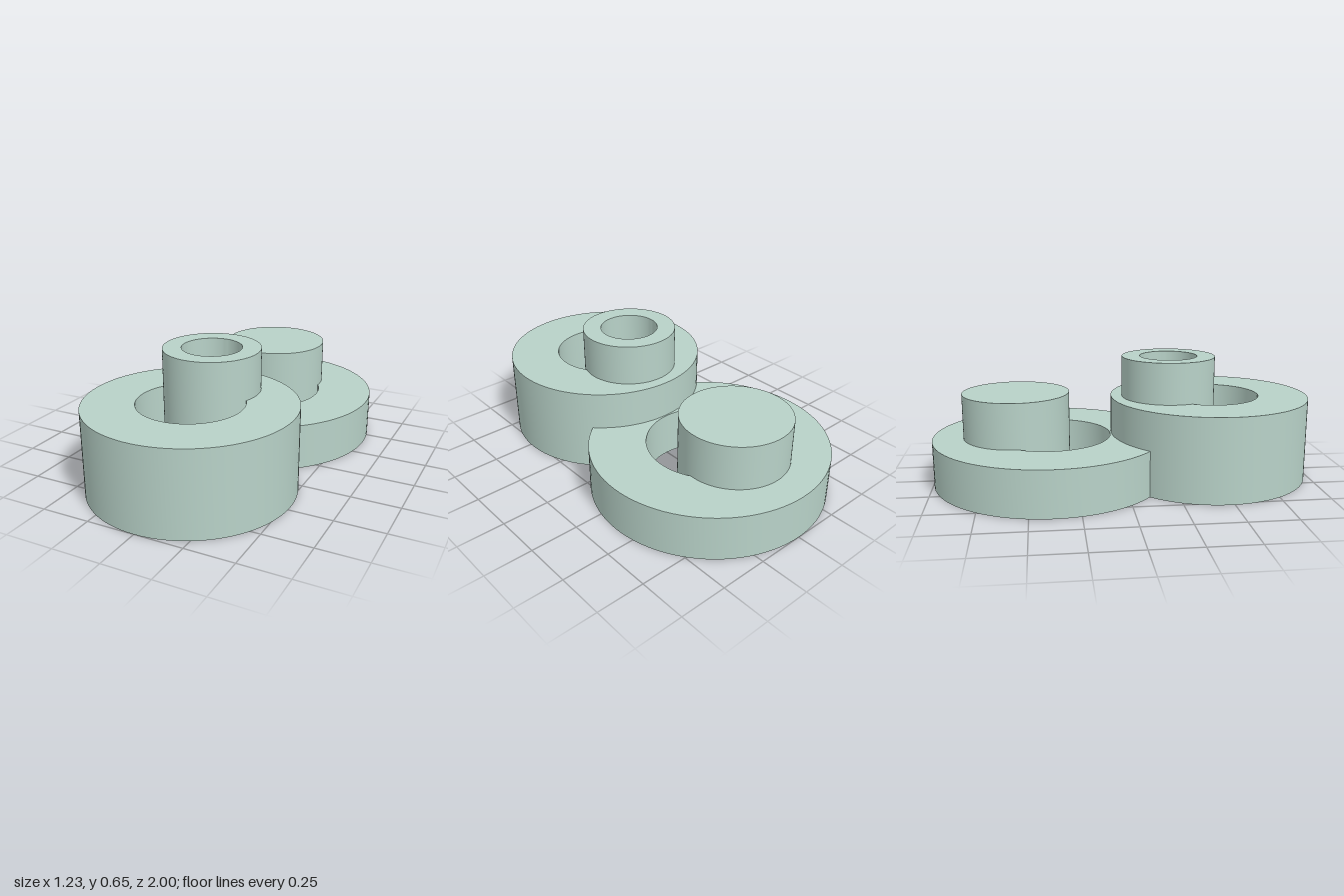
import * as THREE from 'three';
import { toCreasedNormals } from 'three/addons/utils/BufferGeometryUtils.js';

const material = new THREE.MeshStandardMaterial({ color: 0xb8d2c8 });

// Upright round part standing on y = 0, with an optional bore through it
function roundPart(name, z, radius, height, bore = 0) {
  const shape = new THREE.Shape().absarc(0, 0, radius, 0, Math.PI * 2, false);
  if (bore > 0) shape.holes.push(new THREE.Path().absarc(0, 0, bore, 0, Math.PI * 2, true));
  let geometry = new THREE.ExtrudeGeometry(shape, { depth: height, bevelEnabled: false, curveSegments: 48 });
  geometry.rotateX(-Math.PI / 2);
  geometry = toCreasedNormals(geometry, 0.5);
  const mesh = new THREE.Mesh(geometry, material);
  mesh.name = name;
  mesh.position.z = z;
  return mesh;
}

export function createModel() {
  const group = new THREE.Group();
  group.name = 'linkedRings';
  group.add(
    // Tall front ring with a hollow peg rising from its inner edge
    roundPart('frontRing', 0.472, 0.528, 0.44, 0.267),
    roundPart('hollowPeg', 0.25, 0.247, 0.655, 0.152),
    // Low back ring with a solid peg overlapping its hole
    roundPart('backRing', -0.385, 0.615, 0.24, 0.322),
    roundPart('solidPeg', -0.56, 0.28, 0.477)
  );
  return group;
}
